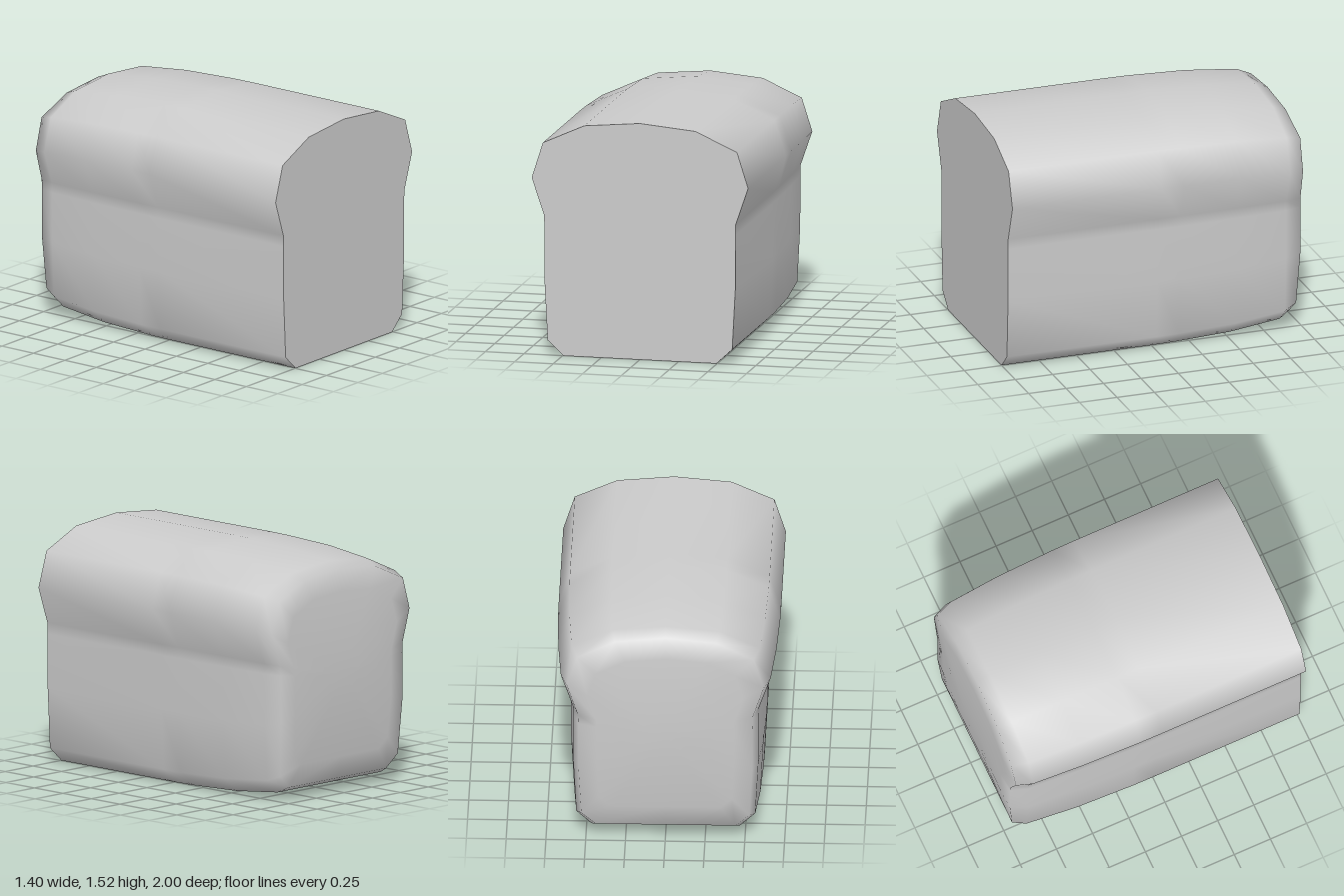
import * as THREE from 'three';

// Half of the loaf outline, bottom centre to top centre
const HALF = [[0, 0], [0.495, 0], [0.597, 0.095], [0.617, 0.48], [0.618, 0.83], [0.62, 0.9],
  [0.7, 1.135], [0.628, 1.363], [0.36, 1.485], [0, 1.518]];
const MID = 0.76;

// Full counter-clockwise outline, mirrored across x
const OUTLINE = [...HALF, ...HALF.slice(1, -1).reverse().map(([x, y]) => [-x, y])];

// Gentle bulge of the rounded end
function endZ(x, y) {
  const side = 0.03 * Math.max(0, (Math.abs(x) - 0.36) / 0.26);
  const rise = 0.05 * Math.pow(Math.abs(y - 0.8) / 0.67, 2.2);
  return -1 + Math.max(side, rise);
}

function crustGeometry() {
  const positions = [], indices = [];
  const n = OUTLINE.length;
  const addRing = (sx, sy, z) => {
    for (const [px, py] of OUTLINE) {
      const x = px * sx, y = MID + (py - MID) * sy;
      positions.push(x, y, z ?? endZ(x, y));
    }
  };
  // Straight body tapering towards the far end
  addRing(1, 1, 1);
  addRing(1, 1, 0);
  addRing(0.998, 0.998, -0.15);
  addRing(0.98, 0.98, -0.53);
  addRing(0.943, 0.934, -0.87);
  // Domed end, ring by ring to its centre
  for (const s of [0.885, 0.7, 0.45, 0.2]) addRing(s, s);
  const rings = positions.length / 3 / n;
  const centre = rings * n;
  positions.push(0, MID, -1);

  for (let i = 0; i < rings; i++) {
    for (let j = 0; j < n; j++) {
      const k = (j + 1) % n;
      const a = i * n + j, b = i * n + k;
      if (i === rings - 1) indices.push(a, centre, b);
      else indices.push(a, a + n, b, b, a + n, b + n);
    }
  }
  const geometry = new THREE.BufferGeometry();
  geometry.setAttribute('position', new THREE.Float32BufferAttribute(positions, 3));
  geometry.setIndex(indices);
  geometry.computeVertexNormals();
  return geometry;
}

export function createModel() {
  const group = new THREE.Group();
  group.name = 'breadLoaf';
  const material = new THREE.MeshStandardMaterial({ color: 0xcccccc });

  const crust = new THREE.Mesh(crustGeometry(), material);
  crust.name = 'crust';
  group.add(crust);

  // Flat sliced face at the front
  const shape = new THREE.Shape(OUTLINE.map(([x, y]) => new THREE.Vector2(x, y)));
  const cutFace = new THREE.Mesh(new THREE.ShapeGeometry(shape), material);
  cutFace.name = 'cutFace';
  cutFace.position.z = 1;
  group.add(cutFace);

  return group;
}
